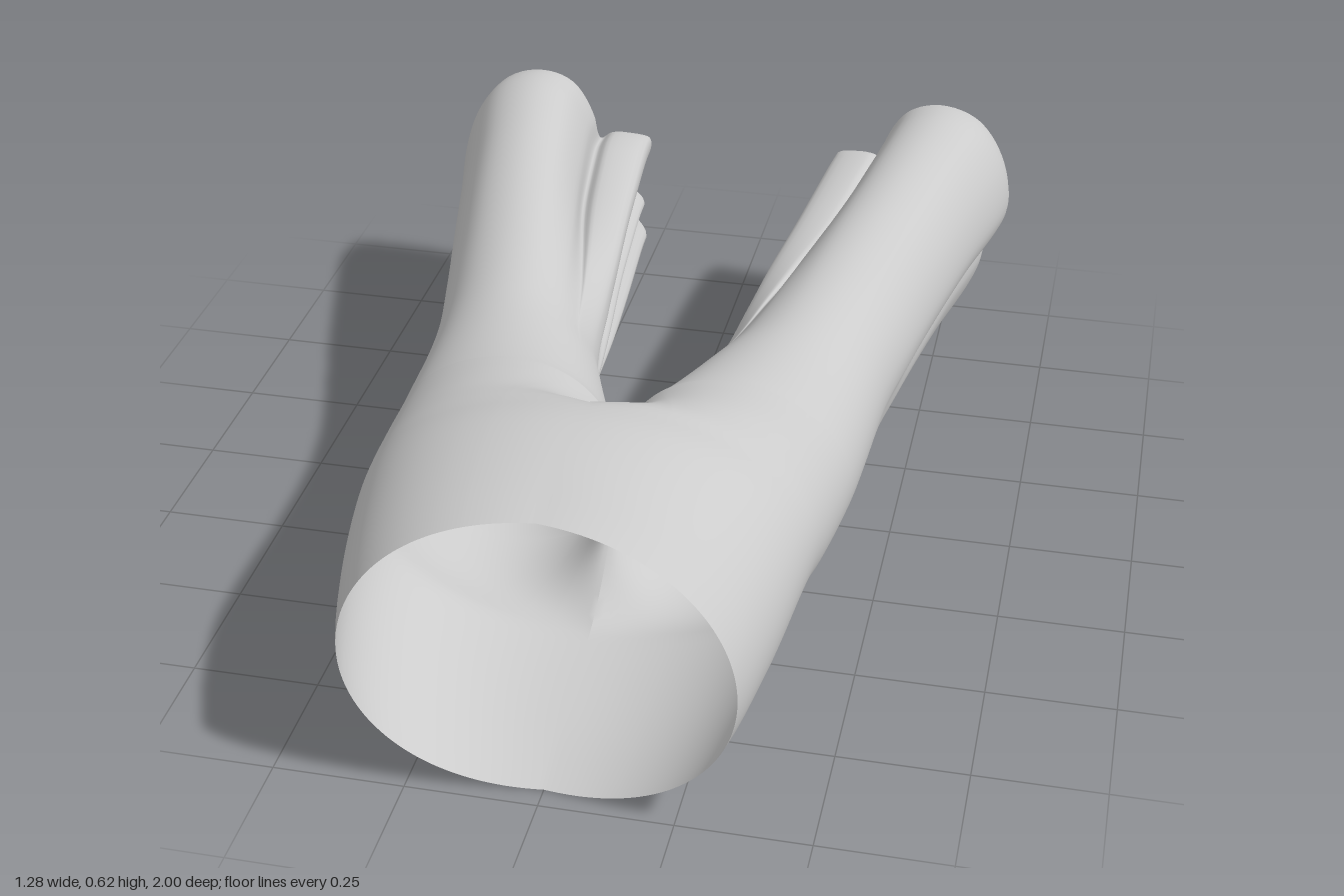
import * as THREE from 'three';
import { mergeVertices } from 'three/addons/utils/BufferGeometryUtils.js';

const { lerp, smoothstep, clamp } = THREE.MathUtils;
const COLS = 120;
const CROTCH = 0.33;

// Smooth curve through [z, value] keys, listed from waist to hem
function track(keys) {
  const slope = (i) => {
    const a = keys[Math.max(i - 1, 0)], b = keys[Math.min(i + 1, keys.length - 1)];
    return (b[1] - a[1]) / (b[0] - a[0]);
  };
  return (z) => {
    let i = 0;
    while (i < keys.length - 2 && z < keys[i + 1][0]) i++;
    const [z0, v0] = keys[i], [z1, v1] = keys[i + 1], d = z1 - z0;
    const t = clamp((z - z0) / d, 0, 1), t2 = t * t, t3 = t2 * t;
    return (2 * t3 - 3 * t2 + 1) * v0 + (t3 - 2 * t2 + t) * d * slope(i)
      + (3 * t2 - 2 * t3) * v1 + (t3 - t2) * d * slope(i + 1);
  };
}

// Silhouette of one half of the garment along its length
const outer = track([[1, 0.36], [0.95, 0.375], [0.8, 0.405], [0.6, 0.43], [0.3, 0.457], [0, 0.475],
  [-0.2, 0.51], [-0.4, 0.55], [-0.6, 0.59], [-0.83, 0.64], [-0.91, 0.635]]);
const inner = track([[CROTCH, 0], [0.3, 0.018], [0.2, 0.055], [0.1, 0.09], [0, 0.12],
  [-0.2, 0.138], [-0.4, 0.155], [-0.6, 0.178], [-0.8, 0.2], [-0.91, 0.21]]);
const top = track([[1, 0.58], [0.85, 0.61], [0.7, 0.625], [0.6, 0.61], [0.5, 0.57], [0.3, 0.518],
  [0.1, 0.495], [-0.1, 0.505], [-0.4, 0.545], [-0.8, 0.582], [-0.91, 0.575]]);
const bottom = track([[1, 0], [0.8, 0.045], [0.6, 0.09], [0.3, 0.102], [0, 0.118],
  [-0.3, 0.085], [-0.6, 0.05], [-0.91, 0.025]]);

// Creased leg openings, from the inner side over the top and round underneath
const upperFold = [[0.28, 0.31], [0.225, 0.35], [0.22, 0.4], [0.3, 0.42], [0.33, 0.405],
  [0.34, 0.47], [0.39, 0.55], [0.47, 0.575], [0.56, 0.545], [0.62, 0.46], [0.64, 0.36]];
const hemLeft = [...upperFold, [0.62, 0.3], [0.587, 0.265], [0.585, 0.2], [0.54, 0.1], [0.47, 0.05],
  [0.38, 0.04], [0.31, 0.08], [0.26, 0.12], [0.28, 0.17], [0.245, 0.2], [0.265, 0.25]];
const hemRight = [...upperFold, [0.615, 0.32], [0.575, 0.295], [0.575, 0.22], [0.52, 0.1], [0.42, 0.03],
  [0.35, 0.06], [0.29, 0.09], [0.23, 0.13], [0.26, 0.18], [0.235, 0.22], [0.28, 0.265]];

// Hem outline in box coordinates (-1..1) with the matching angle on a plain oval
function hemColumns(points) {
  const curve = new THREE.CatmullRomCurve3(
    points.map(([x, y]) => new THREE.Vector3((x - 0.42) / 0.22, (y - 0.31) / 0.27, 0)), true);
  return Array.from({ length: COLS + 1 }, (_, j) => {
    const p = curve.getPoint(j / COLS);
    const angle = j === 0 ? Math.PI : j === COLS ? -Math.PI : Math.atan2(p.y, p.x);
    return { u: p.x, v: p.y, angle };
  });
}

// Rows run waist to crotch, crotch to hem, then a short turned-in edge
const rows = [];
for (let i = 0; i < 36; i++) rows.push({ z: CROTCH + (1 - CROTCH) * Math.pow(1 - i / 36, 1.7), tuck: 1 });
for (let i = 0; i <= 50; i++) rows.push({ z: lerp(CROTCH, -0.89, Math.pow(i / 50, 1.2)), tuck: 1 });
rows.push({ z: -0.905, tuck: 0.98 }, { z: -0.912, tuck: 0.95 });

// How far a column has turned from hip oval to leg oval; the centre seam closes at the crotch
function splitAmount(z, angle) {
  const body = 1 - smoothstep(z, -0.1, 0.62);
  const near = Math.pow(clamp((Math.abs(angle) / Math.PI - 0.3) / 0.7, 0, 1), 2);
  const r = clamp((z - CROTCH) / 0.27, 0, 1);
  const closed = 1 - lerp(smoothstep(r, 0, 1), Math.sqrt(r), Math.pow(near, 4));
  return body + (1 - body) * near * closed;
}

function addHalf(positions, index, side, hem) {
  const start = positions.length / 3;
  const columns = hemColumns(hem);
  const lift = side > 0 ? 0.015 : -0.01;
  rows.forEach(({ z, tuck }) => {
    const W = outer(z), I = z >= CROTCH ? 0 : inner(z);
    const T = top(z), B = bottom(z) + lift * smoothstep(-z, 0, 0.8);
    const mid = (T + B) / 2, h = (T - B) / 2, cx = (W + I) / 2, w = (W - I) / 2;
    const fold = smoothstep(-z, -0.15, 0.65);
    // Half of the hip oval turns into the full oval of a leg, then into folds
    const section = columns.map(({ u, v, angle }, j) => {
      const split = splitAmount(z, angle);
      const seam = j === 0 || j === COLS;
      const hipX = lerp(0, W, Math.pow(Math.max(Math.cos(angle / 2), 0), 0.92));
      const legX = cx + w * tuck * lerp(Math.cos(angle), u, fold);
      const x = lerp(Math.max(hipX, I), legX, split);
      const legY = lerp(Math.sin(angle), v, fold);
      return { u, v, x: seam && z >= CROTCH ? 0 : x, y: lerp(Math.sin(angle / 2), legY, split) };
    });
    const high = Math.max(...section.map((p) => p.y));
    const low = -Math.min(...section.map((p) => p.y));
    section.forEach(({ u, v, x, y }) => {
      // Waist edge dips at the centre; leg openings reach further on the inside
      const dip = 0.045 * smoothstep(z, 0.75, 1) * (1 - clamp(x / 0.36, 0, 1));
      const reach = smoothstep(-u, 0.2, 0.65) * (1 - smoothstep(v, 0.25, 0.55));
      const under = 1 - smoothstep(v, -0.4, 0);
      const extend = smoothstep(-z, 0.4, 0.91) * Math.max(0.088 * reach, 0.03 * under);
      positions.push(side * x, mid + h * tuck * y / (y > 0 ? high : low), z - dip - extend);
    });
  });
  const n = COLS + 1;
  for (let i = 0; i < rows.length - 1; i++) {
    for (let j = 0; j < COLS; j++) {
      const a = start + i * n + j, b = a + 1, c = a + n, d = c + 1;
      if (side > 0) index.push(a, b, c, b, d, c);
      else index.push(a, c, b, b, c, d);
    }
  }
}

export function createModel() {
  const group = new THREE.Group();
  group.name = 'trousers';
  const positions = [], index = [];
  addHalf(positions, index, 1, hemLeft);
  addHalf(positions, index, -1, hemRight);

  // Weld the halves along the centre seam for smooth shading
  let geometry = new THREE.BufferGeometry();
  geometry.setAttribute('position', new THREE.Float32BufferAttribute(positions, 3));
  geometry.setIndex(index);
  geometry = mergeVertices(geometry, 1e-5);
  geometry.computeVertexNormals();

  const cloth = new THREE.MeshStandardMaterial({ color: 0xcccccc, side: THREE.DoubleSide });
  const mesh = new THREE.Mesh(geometry, cloth);
  mesh.name = 'trouserCloth';
  group.add(mesh);
  return group;
}
